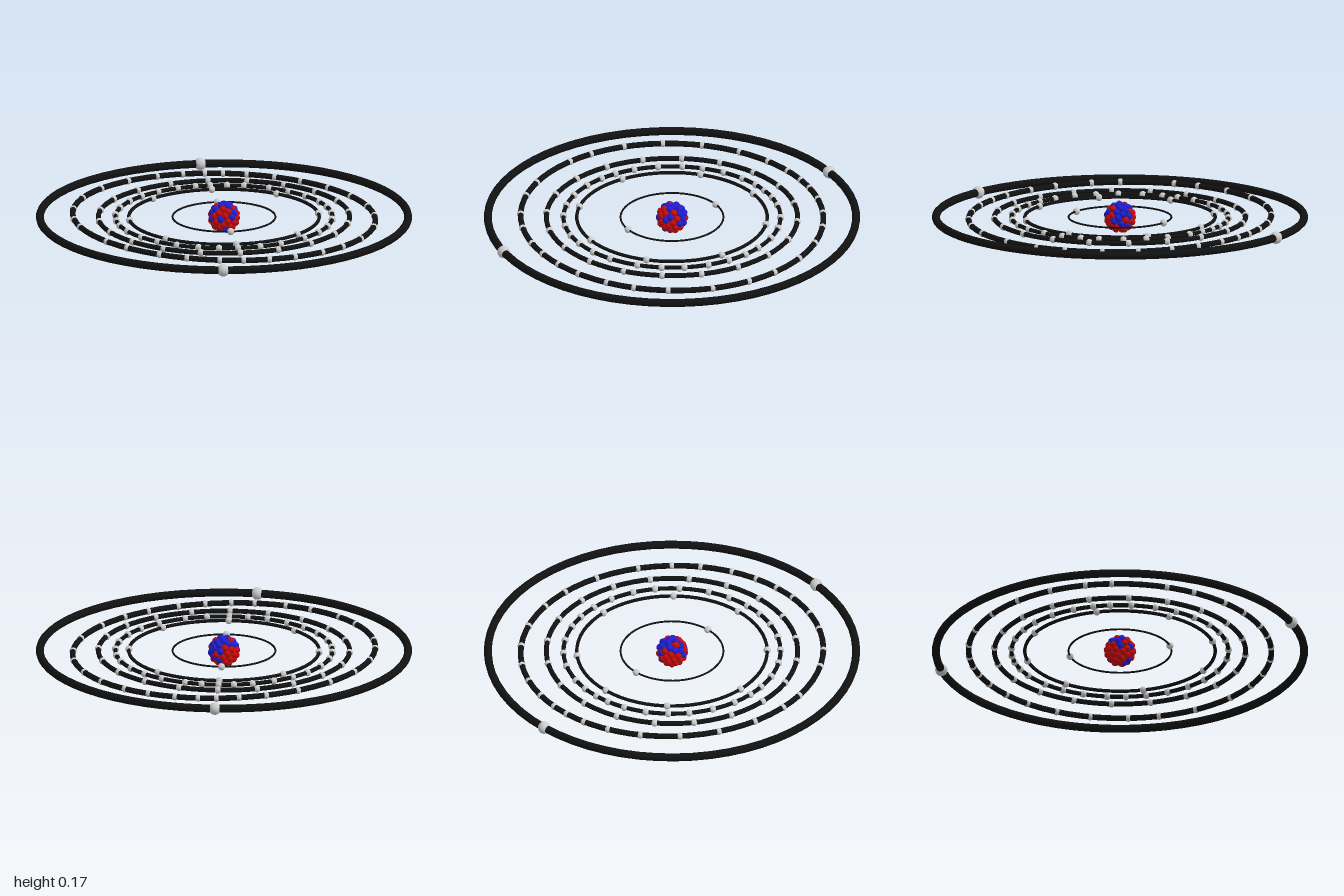
import * as THREE from 'three';

const CENTRE_Y = 0.087;

// Shells: ring radius, tube radius, electron radius, tilt, electron angles (degrees, clockwise from the back)
const SHELLS = [
  { r: 0.27, tube: 0.005, ball: 0.019, tilt: 0, at: [0, 180] },
  { r: 0.5, tube: 0.009, ball: 0.019, tilt: 0, at: [0, 41, 90, 137, 180, 225, 270, 319] },
  { r: 0.57, tube: 0.011, ball: 0.019, tilt: 0, at: [0, 9, 18, 32, 44, 56, 69, 79, 90, 102, 115, 127, 140, 156, 168,
    180, 190, 201, 213, 225, 237, 250, 261, 270, 281, 294, 307, 318, 330, 342, 352] },
  { r: 0.66, tube: 0.013, ball: 0.019, tilt: 0, at: Array.from({ length: 20 }, (_, i) => i * 18) },
  { r: 0.795, tube: 0.015, ball: 0.019, tilt: -0.025, at: [0, 7, 16, 27, 38, 51, 64.5, 79, 91, 106, 123, 136, 147,
    159.5, 170, 180, 189, 201.5, 212.5, 227, 238, 259, 269, 283, 298, 313, 328, 341, 351.5] },
  { r: 0.967, tube: 0.021, ball: 0.033, tilt: 0, at: [0, 187.6] },
];

export function createModel() {
  const model = new THREE.Group();
  model.name = 'atom';
  const black = new THREE.MeshStandardMaterial({ color: 0x111111 });
  const grey = new THREE.MeshStandardMaterial({ color: 0xcccccc });
  const red = new THREE.MeshStandardMaterial({ color: 0xc80a0a });
  const blue = new THREE.MeshStandardMaterial({ color: 0x1e1ed2 });

  const add = (parent, name, geometry, material, x = 0, y = 0, z = 0) => {
    const mesh = new THREE.Mesh(geometry, material);
    mesh.name = name;
    mesh.position.set(x, y, z);
    parent.add(mesh);
    return mesh;
  };

  // Electron shells: a ring with its electrons, tilted together
  SHELLS.forEach(({ r, tube, ball, tilt, at }, i) => {
    const shell = new THREE.Group();
    shell.name = `electronShell${i + 1}`;
    shell.position.y = CENTRE_Y;
    shell.rotation.z = tilt;
    add(shell, 'orbitRing', new THREE.TorusGeometry(r, tube, 12, 64).rotateX(Math.PI / 2), black);
    const sphere = new THREE.SphereGeometry(ball, 16, 12);
    for (const degrees of at) {
      const a = THREE.MathUtils.degToRad(degrees);
      add(shell, 'electron', sphere, grey, r * Math.sin(a), 0, -r * Math.cos(a));
    }
    model.add(shell);
  });

  // Nucleus: two spiral layers of packed protons and neutrons
  const nucleus = new THREE.Group();
  nucleus.name = 'nucleus';
  nucleus.position.y = CENTRE_Y;
  const nucleon = new THREE.SphereGeometry(0.019, 16, 12);
  let seed = 11;
  const random = () => (seed = (seed * 16807) % 2147483647) / 2147483647;
  for (const [count, radius] of [[60, 0.067], [20, 0.036]]) {
    for (let i = 0; i < count; i++) {
      const y = 1 - (2 * i + 1) / count;
      const s = Math.sqrt(1 - y * y);
      const a = i * Math.PI * (3 - Math.sqrt(5));
      const neutron = random() < 0.32 + 0.2 * y;
      add(nucleus, neutron ? 'neutron' : 'proton', nucleon, neutron ? blue : red,
        radius * s * Math.cos(a), radius * y, radius * s * Math.sin(a));
    }
  }
  model.add(nucleus);
  return model;
}
